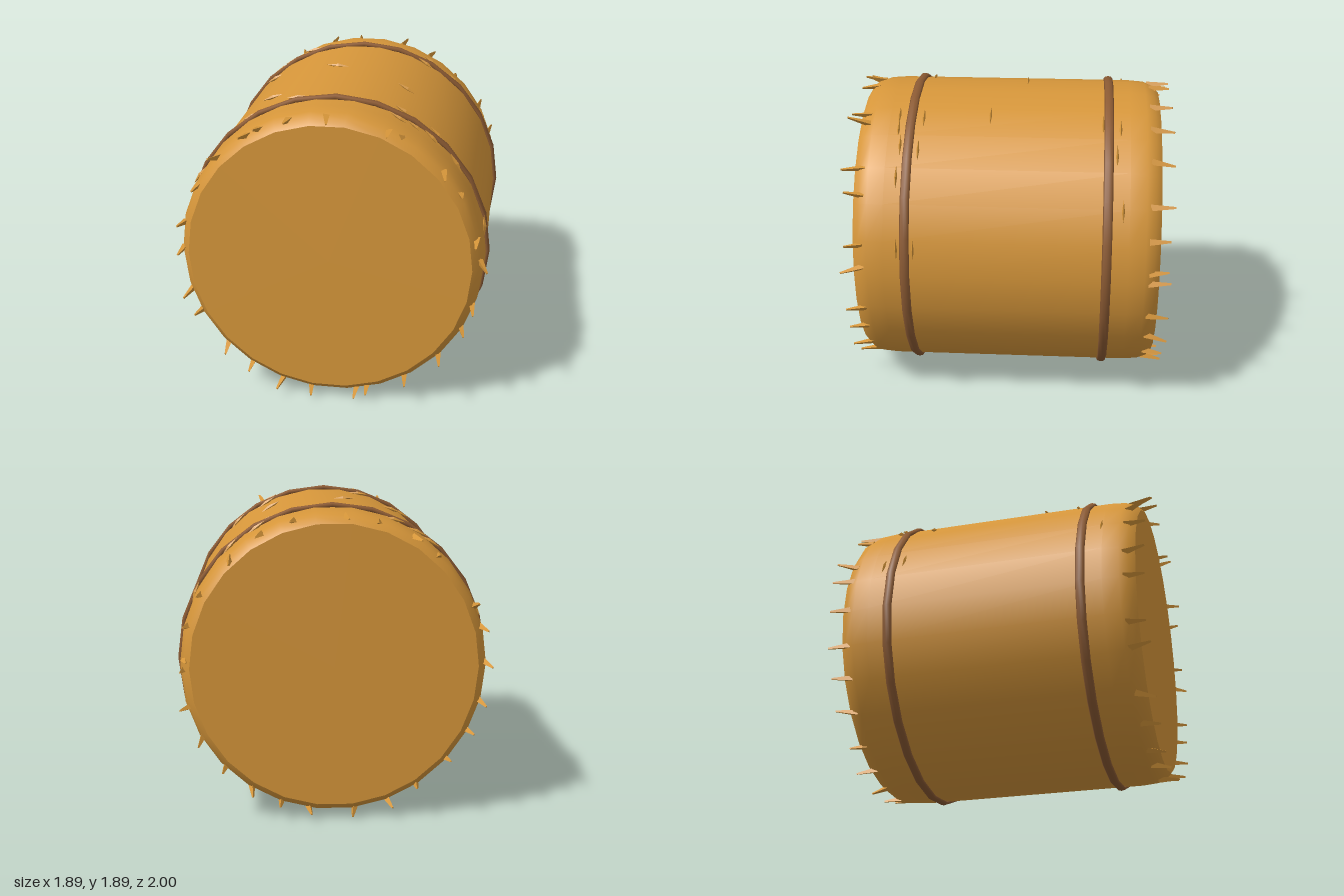
import * as THREE from 'three';

export function createModel() {
  const bale = new THREE.Group();
  bale.name = 'hayBale';
  const CY = 0.95, SIDES = 26;

  const hay = new THREE.MeshStandardMaterial({ color: 0xd6963a });
  hay.name = 'hay';
  const rope = new THREE.MeshStandardMaterial({ color: 0x8b5a33 });
  rope.name = 'rope';

  const add = (name, geo, mat, parent = bale) => {
    const mesh = new THREE.Mesh(geo, mat);
    mesh.name = name;
    parent.add(mesh);
    return mesh;
  };

  // Rolled body lying along z, with softened rims
  const half = [[0.922, 0.73], [0.914, 0.83], [0.894, 0.885], [0.856, 0.92]];
  const profile = [
    ...half.map(([r, z]) => new THREE.Vector2(r, -z)).reverse(),
    ...half.map(([r, z]) => new THREE.Vector2(r, z)),
  ];
  const bodyGeo = new THREE.LatheGeometry(profile, SIDES, Math.PI / 2);
  bodyGeo.rotateX(Math.PI / 2);
  add('rolledBody', bodyGeo, hay).position.y = CY;

  // Flat ends and binding ropes (slightly flattened against the bale)
  const ropeGeo = new THREE.TorusGeometry(0.929, 0.016, 8, 24);
  ropeGeo.scale(1, 1, 1.8);
  for (const s of [1, -1]) {
    const end = add(s > 0 ? 'frontEnd' : 'backEnd', new THREE.CircleGeometry(0.856, SIDES), hay);
    end.position.set(0, CY, s * 0.92);
    if (s < 0) end.rotation.y = Math.PI;
    add(s > 0 ? 'frontRope' : 'backRope', ropeGeo, rope).position.set(0, CY, s * 0.6);
  }

  // Small seeded jitter in -1..1
  let seed = 7;
  const jitter = () => {
    seed = (seed * 16807) % 2147483647;
    return (seed / 2147483647) * 2 - 1;
  };

  // Rim straw: three-sided and blunt, growing along +y from its root
  const rimGeo = new THREE.CylinderGeometry(0.3, 1, 1, 3).toNonIndexed();
  rimGeo.translate(0, 0.5, 0);
  rimGeo.computeVertexNormals();
  const up = new THREE.Vector3(0, 1, 0);

  // Straw tufts around both rims, placed by angle in degrees
  const rims = {
    front: [91, 105, 117, 122, 137, 151, 168, 179, 197, 207, 224, 237, 251, 262,
      281, 285, 301, 318, 333, 344, 3, 12, 31, 42, 62, 67],
    back: [3, 16, 29, 47, 62, 75, 94, 107, 121, 133, 157, 165, 179, 194, 207, 221,
      236, 249, 262, 280, 291, 304, 317, 332, 344, 359],
  };
  for (const [side, angles] of Object.entries(rims)) {
    const s = side === 'front' ? 1 : -1;
    const tufts = new THREE.Group();
    tufts.name = side + 'RimStraws';
    bale.add(tufts);
    for (const deg of angles) {
      const a = THREE.MathUtils.degToRad(deg);
      const out = new THREE.Vector3(Math.cos(a), Math.sin(a), 0);
      const dir = out.clone().multiplyScalar(0.15 + 0.15 * jitter());
      dir.add(new THREE.Vector3(0.2 * jitter(), 0.2 * jitter(), s)).normalize();
      const m = add('rimStraw', rimGeo, hay, tufts);
      m.position.set(out.x * 0.892, CY + out.y * 0.892, s * 0.853);
      m.quaternion.setFromUnitVectors(up, dir);
      m.scale.set(0.023, 0.133 + 0.016 * jitter(), 0.023);
    }
  }

  // Loose straws: slim double-pointed blades on the surface, [angle in degrees, z]
  const loose = [
    [160, -0.66], [129, -0.67], [123, -0.665], [113, -0.69], [130, -0.435], [96, -0.085],
    [66, 0.12], [119, 0.295], [125, 0.525], [105, 0.53], [64, 0.525], [49, 0.54],
    [65, 0.675], [58, 0.67], [51, 0.65], [38, 0.66], [152, 0.72], [60, -0.67],
    [48, -0.65], [27, -0.69], [62, -0.565], [158, -0.53], [11, 0.65], [11, 0.55],
  ];
  const bladeGeo = new THREE.OctahedronGeometry(1);
  bladeGeo.scale(0.014, 0.074, 0.009);
  const surface = new THREE.Group();
  surface.name = 'surfaceStraws';
  bale.add(surface);
  for (const [deg, z] of loose) {
    const a = THREE.MathUtils.degToRad(deg);
    const blade = add('surfaceStraw', bladeGeo, hay, surface);
    blade.position.set(Math.cos(a) * 0.922, CY + Math.sin(a) * 0.922, z);
    blade.rotation.z = a - 0.15;
  }

  return bale;
}
